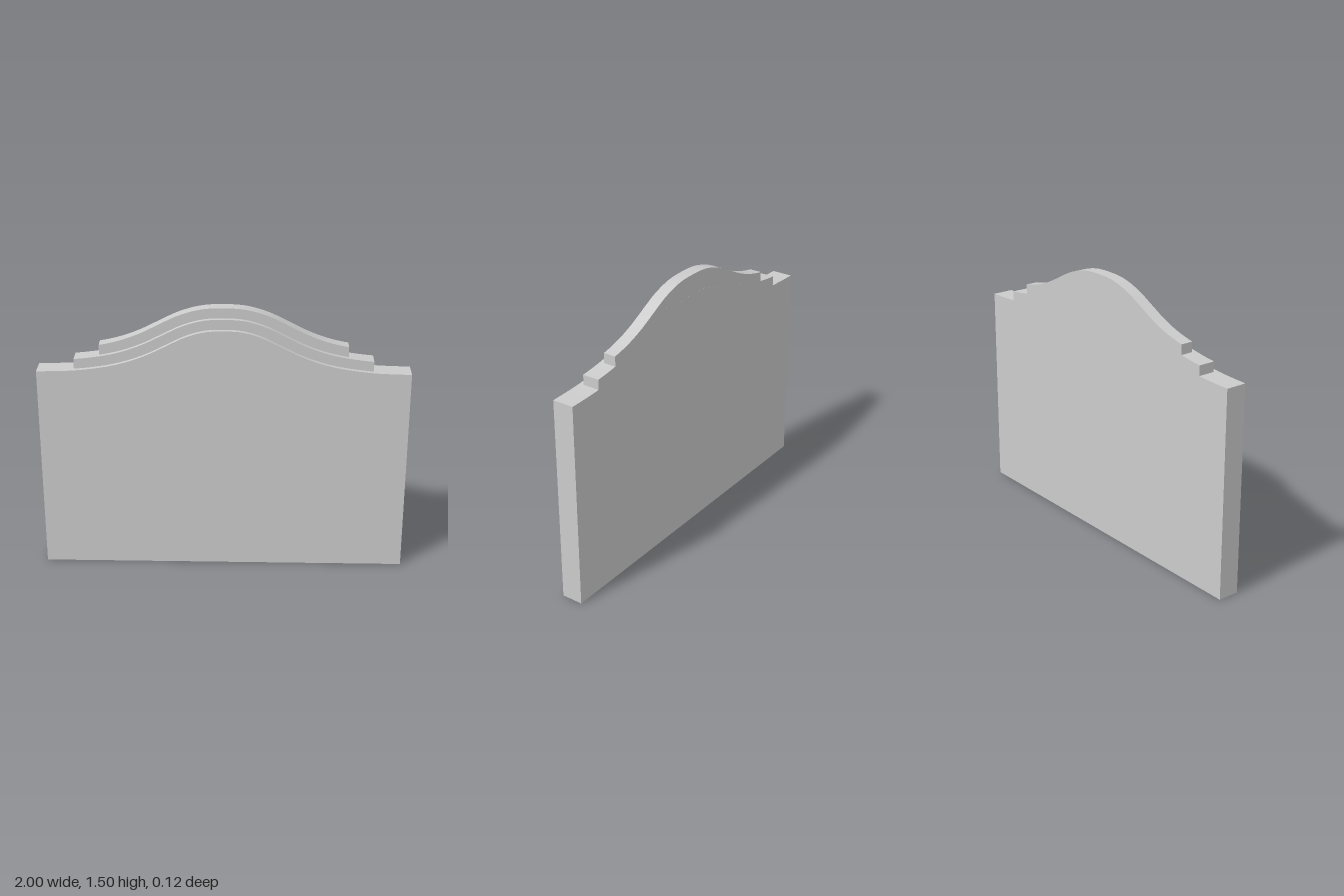
import * as THREE from 'three';
import { toCreasedNormals } from 'three/addons/utils/BufferGeometryUtils.js';

// Crest line of the main panel, from the centre to its left edge
const half = [[0, 1.39], [0.1, 1.384], [0.2, 1.355], [0.3, 1.306], [0.4, 1.256], [0.5, 1.217],
  [0.6, 1.19], [0.7, 1.173], [0.8, 1.162], [0.9, 1.157], [1, 1.155]];
const crest = new THREE.CatmullRomCurve3([
  ...half.slice(1).reverse().map(([x, y]) => new THREE.Vector3(-x, y, 0)),
  ...half.map(([x, y]) => new THREE.Vector3(x, y, 0)),
]);

// Height at x of the crest line offset outwards by d
function crestHeight(x, d) {
  let lo = 0, hi = 1, p;
  for (let i = 0; i < 30; i++) {
    const t = (lo + hi) / 2;
    const n = crest.getTangent(t);
    p = crest.getPoint(t).add(new THREE.Vector3(-n.y * d, n.x * d, 0));
    if (p.x < x) lo = t; else hi = t;
  }
  return p.y;
}

// Slab from a lower edge up to an offset crest, its back flush with all others
function slab(name, halfWidth, top, bottom, frontZ) {
  const steps = 72, backZ = -0.06;
  const upper = [], lower = [];
  for (let i = 0; i <= steps; i++) {
    const x = halfWidth * (2 * i / steps - 1);
    upper.push(new THREE.Vector2(x, crestHeight(x, top)));
    if (bottom !== null) lower.push(new THREE.Vector2(x, crestHeight(x, bottom)));
  }
  if (bottom === null) lower.push(new THREE.Vector2(-halfWidth, 0), new THREE.Vector2(halfWidth, 0));
  const shape = new THREE.Shape([...lower, ...upper.reverse()]);
  const geometry = new THREE.ExtrudeGeometry(shape, { depth: frontZ - backZ, bevelEnabled: false });
  geometry.translate(0, 0, backZ);
  const mesh = new THREE.Mesh(toCreasedNormals(geometry, 0.5),
    new THREE.MeshStandardMaterial({ color: 0xcccccc }));
  mesh.name = name;
  return mesh;
}

export function createModel() {
  const group = new THREE.Group();
  group.name = 'archedPanel';
  group.add(
    slab('mainPanel', 1, 0, null, 0.06),
    slab('middleCrestStep', 0.8, 0.055, 0, 0.035),
    slab('topCrestStep', 0.665, 0.11, 0.055, 0.01),
  );
  return group;
}
